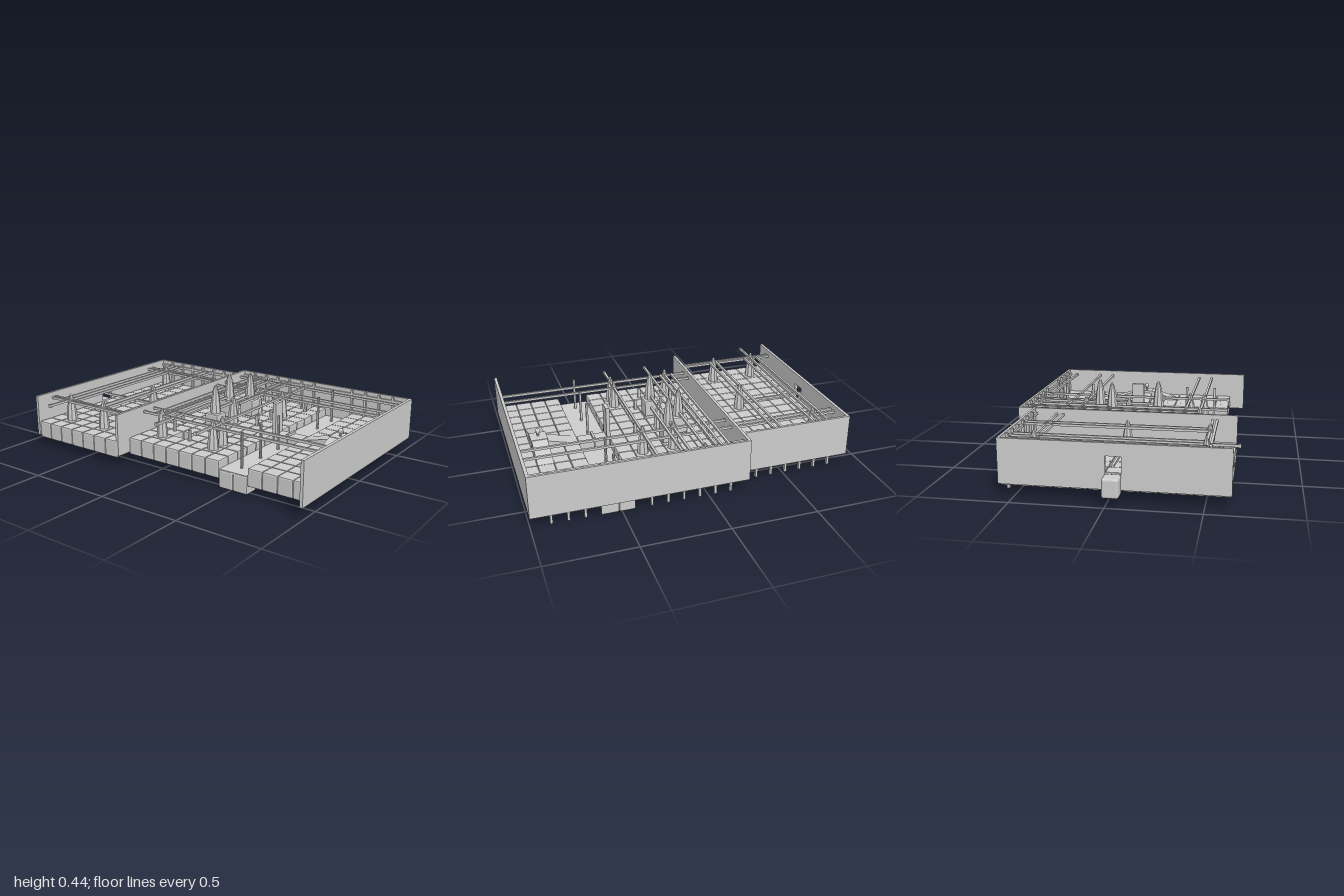
import * as THREE from 'three';
import { RoundedBoxGeometry } from 'three/addons/geometries/RoundedBoxGeometry.js';
import { mergeGeometries } from 'three/addons/utils/BufferGeometryUtils.js';

const P = 0.0925;        // cell pitch
const TOP = 0.16;        // floor level
const WALL_TOP = 0.32;

export function createModel() {
  const group = new THREE.Group();
  const mat = new THREE.MeshStandardMaterial({ color: 0xcccccc, flatShading: true });

  function add(name, geo, x = 0, y = 0, z = 0) {
    const mesh = new THREE.Mesh(geo, mat);
    mesh.name = name;
    mesh.position.set(x, y, z);
    group.add(mesh);
    return mesh;
  }
  // Box given by its limits on each axis
  function box(name, x0, x1, y0, y1, z0, z1) {
    return add(name, new THREE.BoxGeometry(x1 - x0, y1 - y0, z1 - z0),
      (x0 + x1) / 2, (y0 + y1) / 2, (z0 + z1) / 2);
  }
  function rodX(x0, x1, z, y = 0.285) {
    box('crossRod', x0, x1, y - 0.007, y + 0.007, z - 0.007, z + 0.007);
  }
  function rodZ(x, z0, z1, y = 0.29) {
    box('longRod', x - 0.007, x + 0.007, y - 0.007, y + 0.007, z0, z1);
  }

  // Floor cells with chamfered edges
  const cell = new RoundedBoxGeometry(P, 0.105, P, 1, 0.009);
  const key = (x, z) => x + ',' + z;
  const leftX = i => -0.839 + i * P, leftZ = j => -0.525 + j * P;
  const rightX = i => -0.178 + i * P, rightZ = j => -0.6185 + j * P;
  const holes = new Set([key(5, 0), key(1, 2), key(2, 10)]);
  const left = [], right = [], path = [];
  for (let j = 0; j < 13; j++) {
    for (let i = 0; i < 7; i++) left.push(cell.clone().translate(leftX(i), 0.1075, leftZ(j)));
    for (let i = 0; i < 13; i++) {
      if (holes.has(key(i, j))) continue;
      const sunken = (i === 7 || i === 8) && j !== 6;
      (sunken ? path : right).push(cell.clone().translate(rightX(i), sunken ? 0.0575 : 0.1075, rightZ(j)));
    }
  }
  add('leftFloor', mergeGeometries(left));
  add('rightFloor', mergeGeometries(right));
  add('sunkenPath', mergeGeometries(path));
  box('pathSurface', 0.425, 0.605, 0.1, 0.112, -0.663, -0.11);
  box('pathSurface', 0.425, 0.605, 0.1, 0.112, -0.017, 0.534);
  add('outerStep', new RoundedBoxGeometry(0.09, 0.105, 0.09, 2, 0.012), -0.955, 0.1075, 0.03);

  // Walls; the left one has a doorway
  box('leftWall', -0.905, -0.887, 0.07, WALL_TOP, -0.585, -0.012);
  box('leftWall', -0.905, -0.887, 0.07, WALL_TOP, 0.072, 0.635);
  box('doorSill', -0.905, -0.887, 0.07, 0.155, -0.012, 0.072);
  box('doorLintel', -0.905, -0.887, 0.25, WALL_TOP, -0.012, 0.072);
  box('leftBackWall', -0.905, -0.225, 0.07, WALL_TOP, -0.585, -0.57);
  box('dividerWall', -0.24, -0.223, 0.07, WALL_TOP, -0.675, 0.632);
  box('rightBackWall', -0.24, 1, 0.07, WALL_TOP, -0.677, -0.663);
  box('rightWall', 0.982, 1, 0.07, WALL_TOP, -0.677, 0.635);

  // Ribs on the back walls, reaching below the floor
  for (let i = 0; i < 6; i++) {
    const xl = leftX(i) + P / 2, xr = rightX(i) + P / 2;
    box('wallRib', xl - 0.007, xl + 0.007, 0.01, 0.315, -0.572, -0.556);
    box('wallRib', xr - 0.007, xr + 0.007, 0.01, 0.315, -0.665, -0.649);
  }
  for (let i = 8; i < 12; i++) {
    const x = rightX(i) + P / 2;
    box('wallRib', x - 0.007, x + 0.007, 0.01, 0.315, -0.665, -0.649);
  }

  // Rods along x
  for (const z of [-0.44, -0.4, 0.49, 0.515]) rodX(-0.885, -0.24, z);
  rodX(-0.91, -0.46, 0.03, 0.2);
  for (const z of [-0.61, -0.43, -0.335, 0.31, 0.4]) rodX(-0.223, 0.982, z);
  box('backRail', -0.887, -0.24, 0.28, 0.295, -0.572, -0.558);
  box('backRail', -0.223, 0.982, 0.28, 0.295, -0.665, -0.65);

  // Rods along z, some ending in a cap beyond the front edge
  for (const x of [-0.79, -0.7, -0.49, -0.445]) rodZ(x, -0.57, 0.5);
  for (const x of [-0.13, -0.085, -0.055]) rodZ(x, -0.663, 0.4);
  rodZ(0.1, -0.663, 0.13);
  rodZ(0.145, -0.663, -0.05);
  for (const [x, z0, z1] of [[-0.745, -0.57, 0.66], [0.007, -0.663, 0.555], [0.285, -0.663, 0.555]]) {
    rodZ(x, z0, z1);
    box('rodCap', x - 0.01, x + 0.01, 0.28, 0.3, z1 - 0.005, z1 + 0.008);
  }

  // Spikes: tapered eight-sided teeth, three of them on raised blocks
  const profile = [[0.034, 0], [0.031, 0.04], [0.026, 0.085], [0.018, 0.13], [0.009, 0.16], [0, 0.17]]
    .map(p => new THREE.Vector2(...p));
  const spike = new THREE.LatheGeometry(profile, 8);
  const low = [[-0.746, -0.43], [-0.746, 0.49], [-0.469, 0.03], [-0.469, 0.49], [0.1, -0.335],
    [0.285, -0.335], [0.1, -0.06], [0.285, 0.31], [0.285, 0.4], [-0.085, 0.4]];
  for (const [x, z] of low) add('spike', spike, x, TOP, z);
  add('spike', spike, 0.007, TOP - 0.012, -0.61);
  for (const [x, z] of [[0.1, 0.125], [0.007, -0.15], [0.1, -0.245]]) {
    add('spikeBlock', cell, x, 0.2175, z);
    add('raisedSpike', spike, x, 0.27, z);
  }

  // Short floor posts and tall path posts
  for (const [x, z] of [[-0.15, -0.24], [-0.15, 0.125], [0.26, -0.24], [0.26, -0.09],
    [0.35, -0.52], [0.17, 0.22], [0.1, 0.375], [-0.085, 0.285]])
    box('floorPost', x - 0.008, x + 0.008, TOP - 0.01, 0.225, z - 0.008, z + 0.008);
  for (const z of [-0.57, -0.385, 0.08, 0.265, 0.45])
    add('pathPost', new THREE.CylinderGeometry(0.008, 0.008, 0.21, 10), 0.515, 0.21, z);

  // Bridge panel, ridge and hanging pegs
  box('bridgePanel', 0.415, 0.437, TOP - 0.01, 0.347, -0.092, -0.015);
  box('bridgeRidge', 0.508, 0.522, TOP - 0.01, 0.175, -0.105, -0.02);
  for (const x of [0.43, 0.6]) for (const z of [-0.1, -0.01])
    box('bridgePeg', x - 0.006, x + 0.006, 0.012, 0.12, z - 0.006, z + 0.006);

  // Platform with a knob, reached by three ramps
  function ramp(length, height, x, z, turn) {
    const s = new THREE.Shape();
    s.moveTo(0, 0); s.lineTo(length, 0); s.lineTo(0, height); s.closePath();
    const g = new THREE.ExtrudeGeometry(s, { depth: P, bevelEnabled: false });
    g.translate(0, 0, -P / 2);
    add('ramp', g, x, TOP - 0.003, z).rotation.y = turn;
  }
  box('platform', 0.79, 0.888, TOP - 0.01, 0.22, -0.11, -0.015);
  ramp(0.185, 0.06, 0.839, -0.11, Math.PI / 2);
  ramp(0.185, 0.06, 0.839, -0.015, -Math.PI / 2);
  ramp(0.18, 0.045, 0.79, -0.0625, Math.PI);
  add('knobStem', new THREE.CylinderGeometry(0.007, 0.007, 0.04, 8), 0.839, 0.235, -0.0575);
  add('knob', new THREE.SphereGeometry(0.016, 12, 8), 0.839, 0.25, -0.0575);

  return group;
}
